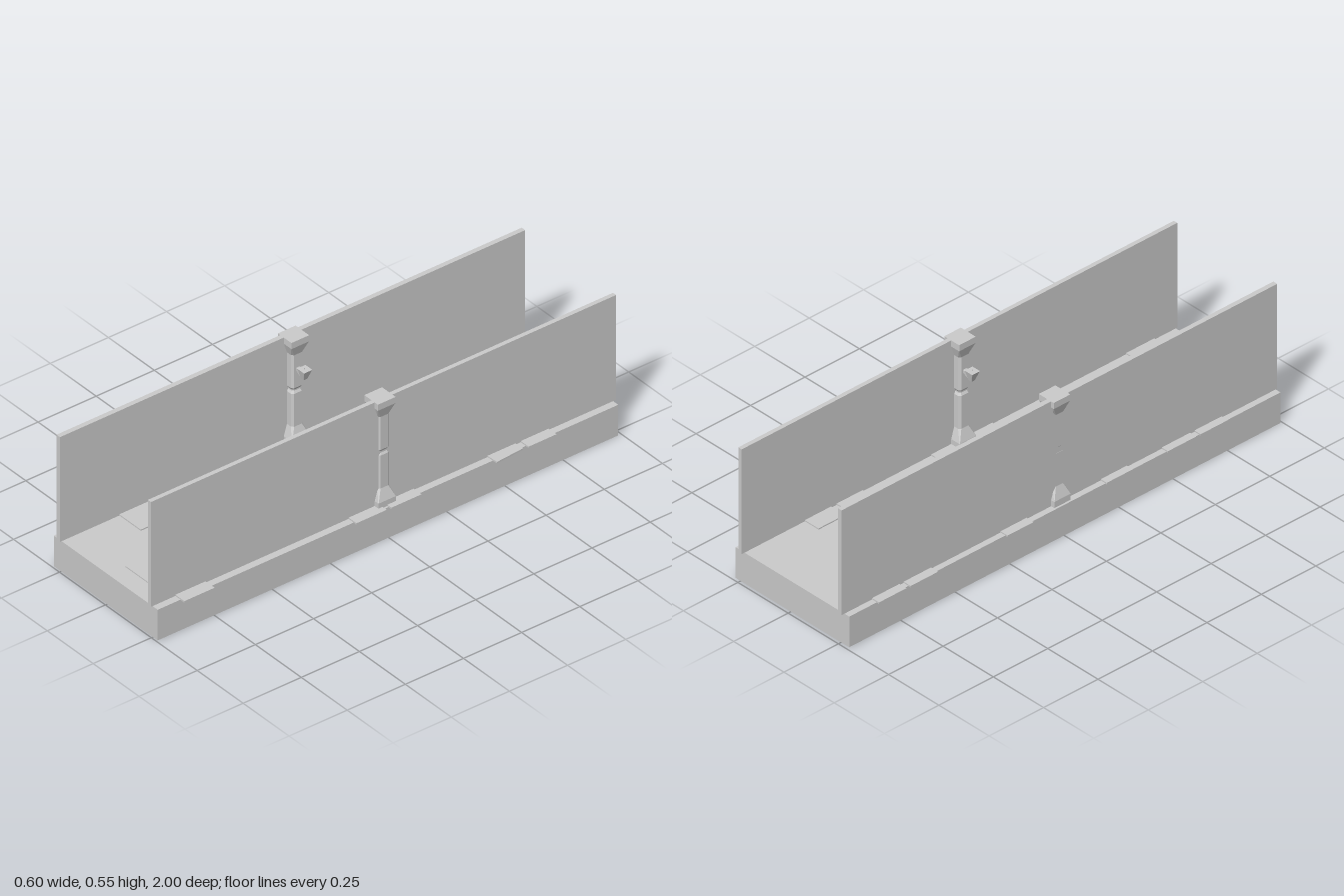
import * as THREE from 'three';

const mat = new THREE.MeshStandardMaterial({ color: 0xcccccc, flatShading: true });

function box(name, x0, x1, y0, y1, z0, z1) {
  const mesh = new THREE.Mesh(new THREE.BoxGeometry(x1 - x0, y1 - y0, z1 - z0), mat);
  mesh.position.set((x0 + x1) / 2, (y0 + y1) / 2, (z0 + z1) / 2);
  mesh.name = name;
  return mesh;
}

// Stacks rings of chamfered squares; each level is [y, halfX, halfZ, chamfer, offsetX]
function stack(name, levels) {
  const pos = [], idx = [], n = 8;
  for (const [y, hx, hz, c, ox = 0] of levels) {
    const ring = [[hx, hz - c], [hx - c, hz], [c - hx, hz], [-hx, hz - c],
      [-hx, c - hz], [c - hx, -hz], [hx - c, -hz], [hx, c - hz]];
    for (const [x, z] of ring) pos.push(x + ox, y, z);
  }
  for (let l = 0; l < levels.length - 1; l++) {
    for (let i = 0; i < n; i++) {
      const a = l * n + i, b = l * n + (i + 1) % n;
      idx.push(a, a + n, b, b, a + n, b + n);
    }
  }
  const top = (levels.length - 1) * n;
  for (let i = 1; i < n - 1; i++) {
    idx.push(0, i, i + 1);
    idx.push(top, top + i + 1, top + i);
  }
  const indexed = new THREE.BufferGeometry();
  indexed.setAttribute('position', new THREE.Float32BufferAttribute(pos, 3));
  indexed.setIndex(idx);
  const geo = indexed.toNonIndexed();
  geo.computeVertexNormals();
  const mesh = new THREE.Mesh(geo, mat);
  mesh.name = name;
  return mesh;
}

// Pillar with flared base and capital, a waist groove and a lamp on its +x side
function pillar() {
  const g = new THREE.Group();
  const s = 0.0243, c = 0.008;
  g.add(stack('pillarShaft', [
    [0.125, 0.04, 0.038, 0.001], [0.15, 0.04, 0.038, 0.001],
    [0.195, s, s, c], [0.329, s, s, c],
    [0.338, 0.019, 0.019, 0.006], [0.343, 0.019, 0.019, 0.006],
    [0.352, s, s, c], [0.487, s, s, c],
    [0.528, 0.037, 0.038, 0.001], [0.553, 0.037, 0.038, 0.001],
  ]));

  // Lamp arm flares from the shaft toward the bowl
  const arm = stack('lampArm', [
    [0.02, 0.007, 0.007, 0.002], [0.032, 0.009, 0.009, 0.002], [0.05, 0.015, 0.011, 0.002],
  ]);
  arm.rotation.z = -Math.PI / 2;
  arm.position.y = 0.425;
  g.add(arm);

  g.add(stack('lampBowl', [
    [0.404, 0.008, 0.008, 0.001, 0.058], [0.443, 0.019, 0.018, 0.001, 0.061],
  ]));
  g.add(box('lampWick', 0.0595, 0.0615, 0.44, 0.448, -0.001, 0.001));
  return g;
}

export function createModel() {
  const model = new THREE.Group();
  model.name = 'corridor';

  model.add(box('floor', -0.29, 0.276, 0, 0.125, -0.987, 0.993));
  model.add(box('rightWall', -0.266, -0.247, 0.125, 0.553, -1, 1));
  model.add(box('leftWall', 0.231, 0.248, 0.125, 0.553, -1, 1));

  const rightPillar = pillar();
  rightPillar.name = 'rightPillar';
  rightPillar.position.x = -0.242;
  const leftPillar = pillar();
  leftPillar.name = 'leftPillar';
  leftPillar.position.x = 0.2285;
  leftPillar.rotation.y = Math.PI;
  model.add(rightPillar, leftPillar);

  // Loose paving slabs: [x0, x1, z0, z1, turn]
  const slabs = [
    [-0.301, -0.15, -0.86, -0.735], [-0.301, -0.15, -0.715, -0.59],
    [-0.301, -0.14, -0.27, -0.15], [-0.296, -0.14, 0.19, 0.31],
    [-0.297, -0.13, 0.47, 0.6], [-0.297, -0.13, 0.62, 0.745],
    [-0.14, -0.01, -0.3, -0.17], [0.008, 0.145, 0.79, 0.92],
    [0.163, 0.291, -0.71, -0.59], [0.165, 0.292, -0.565, -0.445, 0.08],
    [0.163, 0.291, -0.13, 0], [0.163, 0.291, 0.02, 0.15],
    [0.165, 0.297, 0.765, 0.895],
  ];
  for (const [x0, x1, z0, z1, turn = 0] of slabs) {
    const slab = box('pavingSlab', x0, x1, 0.1235, 0.13, z0, z1);
    slab.rotation.y = turn;
    model.add(slab);
  }
  return model;
}
